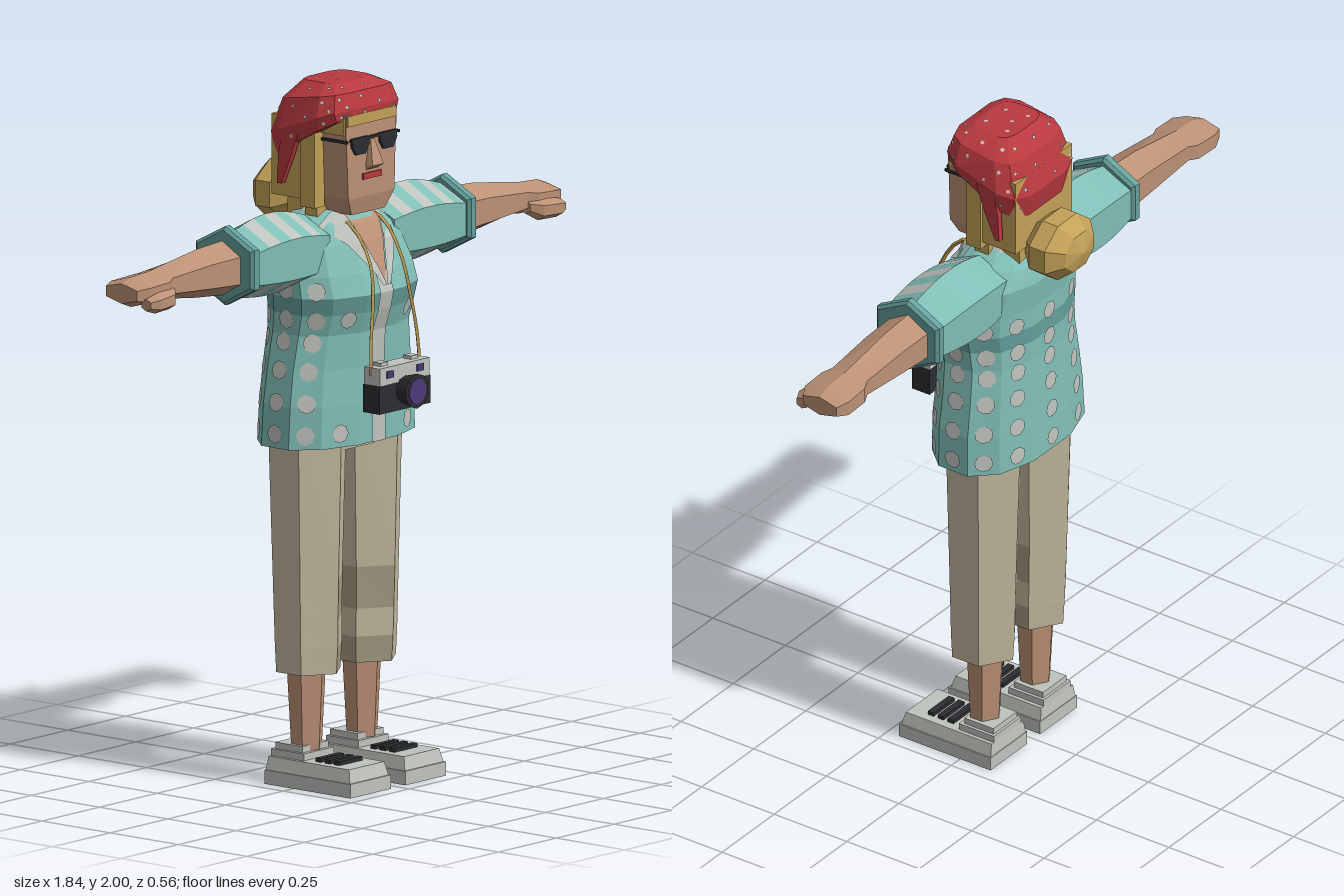
import * as THREE from 'three';
import { mergeGeometries } from 'three/addons/utils/BufferGeometryUtils.js';

const mat = (name, color) => new THREE.MeshStandardMaterial({ name, color, flatShading: true });
const V = (x, y, z) => new THREE.Vector3(x, y, z);

// Horizontal cross-section with half width hx, front zf and back zb; e < 1 makes it squarer
function ring(n, y, hx, zf, zb, e = 1) {
  const raw = Array.from({ length: n }, (_, j) => {
    const a = (j + 0.5) / n * Math.PI * 2, p = v => Math.sign(v) * Math.abs(v) ** e;
    return [p(Math.sin(a)), p(Math.cos(a))];
  });
  const mx = Math.max(...raw.map(r => r[0])), mz = Math.max(...raw.map(r => r[1]));
  return raw.map(([x, z]) => V(x / mx * hx, y, (zf + zb) / 2 + z / mz * (zf - zb) / 2));
}

// Pointed hexagon across the x axis, for sleeves and arms
function hexX(x, yt, yb, zf, zb) {
  const zc = (zf + zb) / 2, u = yb + (yt - yb) * 0.75, l = yb + (yt - yb) * 0.25;
  return [V(x, yt, zc), V(x, u, zf), V(x, l, zf), V(x, yb, zc), V(x, l, zb), V(x, u, zb)];
}

// Hexagon with its points to front and back, for legs
function hexY(y, cx, hx, zf, zb) {
  const m = (zf + zb) / 2, q = (zf - zb) * 0.22;
  return [V(cx, y, zf), V(cx + hx, y, m + q), V(cx + hx, y, m - q), V(cx, y, zb), V(cx - hx, y, m - q), V(cx - hx, y, m + q)];
}

// Capped skin over cross-sections; pick(row, side) selects a material
function loft(name, rings, mats, pick = () => 0) {
  const list = Array.isArray(mats) ? mats : [mats], bins = list.map(() => []);
  const n = rings[0].length;
  for (let i = 0; i < rings.length - 1; i++) for (let j = 0; j < n; j++) {
    const k = (j + 1) % n, a = rings[i], b = rings[i + 1];
    bins[pick(i, j)].push([a[j], a[k], b[k]], [a[j], b[k], b[j]]);
  }
  [rings[0], rings[rings.length - 1]].forEach((r, end) => {
    const c = r.reduce((s, p) => s.add(p), V(0, 0, 0)).divideScalar(n);
    r.forEach((p, j) => { const q = r[(j + 1) % n]; bins[0].push(end ? [c, p, q] : [c, q, p]); });
  });
  const o = rings[0][0];
  let vol = 0;
  bins.flat().forEach(([a, b, c]) => { vol += a.clone().sub(o).dot(b.clone().sub(o).cross(c.clone().sub(o))); });
  return trisMesh(name, bins, list, vol < 0);
}

function trisMesh(name, bins, list, flip = false) {
  const g = new THREE.BufferGeometry(), pts = [];
  bins.forEach((tris, m) => {
    g.addGroup(pts.length, tris.length * 3, m);
    tris.forEach(([a, b, c]) => pts.push(a, flip ? c : b, flip ? b : c));
  });
  g.setFromPoints(pts);
  g.computeVertexNormals();
  const mesh = new THREE.Mesh(g, list.length > 1 ? list : list[0]);
  mesh.name = name;
  return mesh;
}

// Point and outward normal on a lofted surface
function onSurface(rings, u, v) {
  const n = rings[0].length, at = (i, w) => {
    const j = Math.floor(w), t = w - j;
    return rings[i][(j + n) % n].clone().lerp(rings[i][(j + 1 + n) % n], t);
  };
  const i = Math.min(Math.floor(v), rings.length - 2), j = Math.floor(u) + 0.01;
  const p = at(i, u).lerp(at(i + 1, u), v - i);
  const du = at(i, j + 0.98).sub(at(i, j)), dv = at(i + 1, u).sub(at(i, u));
  return [p, du.cross(dv).normalize()];
}

function spots(name, rings, places, r, sides, material) {
  const geos = places.map(([u, v]) => {
    const [p, nrm] = onSurface(rings, u, v);
    const q = new THREE.Quaternion().setFromUnitVectors(V(0, 0, 1), nrm);
    return new THREE.CircleGeometry(r, sides).applyQuaternion(q).translate(...p.addScaledVector(nrm, 0.004).toArray());
  });
  const m = new THREE.Mesh(mergeGeometries(geos), material);
  m.name = name;
  return m;
}

export function createModel() {
  const root = new THREE.Group();
  root.name = 'tourist';
  const teal = mat('shirt teal', 0x80beb6), tealDark = mat('trim teal', 0x659f9b), pale = mat('pale grey', 0xbfc3bd);
  const skin = mat('skin', 0xbc9176), hair = mat('blond hair', 0xc2a158), red = mat('red cloth', 0xb9393f);
  const khaki = mat('khaki', 0xc3ba9f), khakiDark = mat('dark khaki', 0xa59c83);
  const black = mat('black', 0x2c2d30), purple = mat('lens purple', 0x4a3a78);
  const add = (...m) => root.add(...m);
  const box = (name, m, w, h, d, x, y, z) => {
    const b = new THREE.Mesh(new THREE.BoxGeometry(w, h, d), m);
    b.name = name; b.position.set(x, y, z); add(b); return b;
  };

  // Shirt body: height, half width, front, back
  const body = [[0.98, 0.265, 0.135, -0.17], [1.1, 0.26, 0.135, -0.165], [1.2, 0.245, 0.13, -0.16], [1.3, 0.228, 0.135, -0.155],
    [1.36, 0.23, 0.155, -0.155], [1.41, 0.238, 0.165, -0.155], [1.47, 0.235, 0.145, -0.155], [1.55, 0.215, 0.11, -0.163],
    [1.6, 0.16, 0.085, -0.15], [1.635, 0.09, 0.06, -0.1]];
  const shirt = body.map(b => ring(12, ...b, 0.85));
  add(loft('shirt', shirt, [teal, tealDark], (i) => (i === 4 ? 1 : 0)));
  const row = y => { const i = Math.max(0, body.findIndex(b => b[0] >= y) - 1); return i + (y - body[i][0]) / (body[i + 1][0] - body[i][0]); };
  const dots = [];
  for (let k = 0; k < 11; k++) for (const y of [1.02, 1.11, 1.2, 1.28, 1.345, 1.43]) {
    if ((k === 0 || k === 10) && y !== 1.02 && y !== 1.345) continue;
    dots.push([k + 0.5, row(y)]);
  }
  add(spots('shirtDots', shirt, dots, 0.027, 8, pale));

  // Strips laid on the shirt front: rows of [x0, x1, y]
  const frontZ = (x, y) => {
    const v = row(y), i = Math.floor(v), t = v - i;
    const r = shirt[i].map((p, j) => p.clone().lerp(shirt[Math.min(i + 1, 9)][j], t));
    const mid = r.reduce((s, p) => s + p.z, 0) / 12;
    for (let j = 0; j < 12; j++) {
      const a = r[j], b = r[(j + 1) % 12];
      if ((a.z + b.z) / 2 > mid + 0.01 && (a.x - x) * (b.x - x) <= 0) return a.z + (b.z - a.z) * (x - a.x) / (b.x - a.x);
    }
    return mid;
  };
  const strip = (name, rows, m, off) => {
    const p = (x, y) => V(x, y, frontZ(x, y) + off), tris = [];
    rows.slice(1).forEach(([c, d, y2], i) => {
      const [a, b, y1] = rows[i];
      tris.push([p(a, y1), p(b, y1), p(d, y2)], [p(a, y1), p(d, y2), p(c, y2)]);
    });
    add(trisMesh(name, [tris], [m]));
  };
  strip('placket', body.slice(0, 7).map(b => [-0.028, 0.028, b[0]]), pale, 0.005);
  strip('chest', [[-0.002, 0.002, 1.44], [-0.015, 0.015, 1.47], [-0.045, 0.045, 1.55], [-0.062, 0.062, 1.6], [-0.065, 0.065, 1.633]], skin, 0.007);
  for (const s of [-1, 1]) {
    const lapel = [[0, 0.015, 1.43], [0.013, 0.04, 1.47], [0.042, 0.1, 1.55], [0.058, 0.145, 1.6], [0.062, 0.085, 1.633]];
    strip('lapel', lapel.map(([a, b, y]) => s > 0 ? [a, b, y] : [-b, -a, y]), pale, 0.012);
  }
  add(loft('collar', [ring(12, 1.585, 0.14, 0.05, -0.14), ring(12, 1.645, 0.085, 0.03, -0.1)], pale));

  for (const s of [-1, 1]) {
    // Sleeve with stripes on its front slopes, then cuff
    const sleeve = [0.14, 0.18, 0.22, 0.265, 0.31, 0.355, 0.4, 0.44, 0.475].map(x => {
      const k = Math.sin(Math.min(1, Math.max(0, (x - 0.1) / 0.38)) * Math.PI);
      return hexX(x * s, 1.615 + 0.04 * k, 1.445 - 0.025 * k, 0.075 + 0.01 * k, -0.11 - 0.02 * k);
    });
    add(loft('sleeve', sleeve, [teal, pale], (i, j) => ((j === 0 || j === 2) && i % 2 ? 1 : 0)));
    add(loft('cuff', [[0.452, 0.01], [0.46, 0], [0.48, 0], [0.488, 0.01]].map(([x, d]) =>
      hexX(x * s, 1.648 - d, 1.422 + d, 0.09 - d, -0.125 + d)), tealDark));
    // Arm, hand and thumb
    add(loft('arm', [hexX(0.47 * s, 1.608, 1.45, 0.045, -0.09), hexX(0.6 * s, 1.6, 1.462, 0.042, -0.088), hexX(0.77 * s, 1.575, 1.485, 0.035, -0.085),
      hexX(0.8 * s, 1.57, 1.48, 0.05, -0.098), hexX(0.88 * s, 1.565, 1.48, 0.05, -0.1), hexX(0.918 * s, 1.552, 1.495, 0.03, -0.085)], skin));
    add(loft('thumb', [hexX(0.77 * s, 1.53, 1.49, 0.045, 0.01), hexX(0.8 * s, 1.53, 1.47, 0.07, 0.02),
      hexX(0.87 * s, 1.525, 1.47, 0.078, 0.03), hexX(0.9 * s, 1.515, 1.48, 0.065, 0.03)], skin));
    // Trouser leg with darker folds on the inner faces
    const leg = [[1.0, 0.122, 0.103, 0.105, -0.145], [0.6, 0.122, 0.092, 0.095, -0.132], [0.48, 0.121, 0.09, 0.092, -0.128],
      [0.4, 0.12, 0.089, 0.09, -0.125], [0.325, 0.12, 0.086, 0.085, -0.12]];
    const inner = s > 0 ? [4, 5] : [0, 1];
    add(loft('trouserLeg', leg.map(([y, cx, ...r]) => hexY(y, cx * s, ...r)), [khaki, khakiDark],
      (i, j) => ((i === 1 || i === 3) && inner.includes(j) ? 1 : 0)));
    add(loft('shin', [hexY(0.36, 0.12 * s, 0.055, 0.035, -0.085), hexY(0.1, 0.12 * s, 0.042, 0.022, -0.07)], skin));
    // Shoe
    const cx = 0.119 * s;
    box('shoeSole', pale, 0.176, 0.04, 0.315, cx, 0.02, 0.0525);
    const upper = loft('shoeUpper', [ring(4, 0.04, 0.084, 0.205, -0.103), ring(4, 0.078, 0.076, 0.195, -0.1)], pale);
    upper.position.x = cx; add(upper);
    box('shoeCollar', pale, 0.13, 0.02, 0.12, cx, 0.088, -0.04);
    box('shoeAnkle', pale, 0.112, 0.02, 0.1, cx, 0.106, -0.042);
    for (let i = 0; i < 3; i++) box('lace', black, 0.1, 0.012, 0.02, cx, 0.083, 0.06 + i * 0.034);
  }
  box('hips', khaki, 0.2, 0.06, 0.18, 0, 0.985, -0.02);

  // Neck, head and face
  add(loft('neck', [ring(8, 1.5, 0.068, 0.06, -0.07), ring(8, 1.69, 0.066, 0.06, -0.07)], skin));
  add(loft('head', [ring(4, 1.63, 0.072, 0.1, -0.04), ring(4, 1.68, 0.1, 0.112, -0.06), ring(4, 1.92, 0.11, 0.11, -0.1)], skin));
  add(loft('nose', [ring(4, 1.755, 0.022, 0.116, 0.1), ring(4, 1.768, 0.024, 0.137, 0.1), ring(4, 1.84, 0.008, 0.116, 0.1)], skin));
  box('mouth', red, 0.08, 0.017, 0.008, 0, 1.737, 0.113);

  // Hair with stepped side locks, fringe and bun
  box('hairBack', hair, 0.27, 0.23, 0.14, 0, 1.785, -0.07);
  box('nape', hair, 0.18, 0.09, 0.07, 0, 1.65, -0.085);
  box('fringe', hair, 0.21, 0.03, 0.02, 0, 1.903, 0.105);
  for (const s of [-1, 1]) {
    box('sideLock', hair, 0.045, 0.25, 0.05, 0.122 * s, 1.775, 0);
    box('sideLockTip', hair, 0.05, 0.07, 0.045, 0.092 * s, 1.64, -0.01);
    box('temple', hair, 0.03, 0.05, 0.09, 0.1 * s, 1.888, 0.062);
  }
  const bun = new THREE.Mesh(new THREE.SphereGeometry(1, 8, 5).rotateX(Math.PI / 2).rotateZ(Math.PI / 8), hair);
  bun.name = 'hairBun'; bun.scale.set(0.125, 0.1, 0.086); bun.position.set(0, 1.658, -0.194); add(bun);

  // Sunglasses
  const lensShape = new THREE.Shape([[-0.036, 0.02], [0.036, 0.02], [0.038, 0], [0.022, -0.028], [-0.018, -0.028], [-0.034, -0.005]].map(p => new THREE.Vector2(...p)));
  for (const s of [-1, 1]) {
    const lens = new THREE.Mesh(new THREE.ExtrudeGeometry(lensShape, { depth: 0.008, bevelEnabled: false }), black);
    lens.name = 'sunglassLens'; lens.position.set(0.06 * s, 1.833, 0.116); add(lens);
    box('glassesArm', black, 0.006, 0.008, 0.12, 0.112 * s, 1.845, 0.06);
  }
  box('glassesBridge', black, 0.2, 0.007, 0.008, 0, 1.848, 0.12);

  // Bandana: rim falls toward the back
  const scarf = [[0, 0.152, 0.113, -0.145], [0.05, 0.163, 0.113, -0.158], [0.1, 0.143, 0.098, -0.125], [0.1, 0.09, 0.055, -0.08]].map(([h, ...r], i) =>
    ring(12, 0, ...r, 0.5).map(p => {
      const rim = 1.768 + (p.z + 0.155) * 0.54;
      return p.setY(i === 3 ? 2 : i === 2 ? 1.965 + p.z * 0.15 : i === 1 ? rim * 0.62 + 1.97 * 0.38 : rim);
    }));
  add(loft('bandana', scarf, red));
  const marks = [];
  for (let k = 0; k < 12; k++) marks.push([k + 0.3, 0.45], [k + 0.7, 1.2], [k + 0.25, 1.7], [k + 0.5, 2.5]);
  add(spots('bandanaDots', scarf, marks, 0.007, 4, pale));
  const topDots = [[-0.04, 0.02], [0.04, 0.03], [0, -0.03], [-0.05, -0.05], [0.05, -0.05]].map(([x, z]) =>
    new THREE.CircleGeometry(0.007, 4).rotateX(-Math.PI / 2).translate(x, 2.001, z));
  const tops = new THREE.Mesh(mergeGeometries(topDots), pale);
  tops.name = 'bandanaTopDots'; add(tops);
  for (const s of [-1, 1]) {
    const tail = [[1.87, -0.02, -0.08], [1.79, -0.05, -0.095], [1.71, -0.085, -0.1]].map(([y, zf, zb]) =>
      ring(4, y, 0.009, zf, zb).map(p => p.setX(p.x + 0.15 * s)));
    add(loft('bandanaTail', tail, red));
  }

  // Neck strap and camera
  for (const s of [-1, 1]) {
    const path = new THREE.CatmullRomCurve3([V(0.07 * s, 1.62, 0), V(0.068 * s, 1.6, 0.095), V(0.068 * s, 1.5, 0.165),
      V(0.08 * s, 1.4, 0.185), V(0.1 * s, 1.28, 0.195), V(0.105 * s, 1.19, 0.2)]);
    const strap = new THREE.Mesh(new THREE.TubeGeometry(path, 12, 0.006, 4), hair);
    strap.name = 'cameraStrap'; add(strap);
    box('cameraWindow', purple, 0.028, 0.02, 0.006, 0.065 * s, 1.192, 0.234);
    box('cameraKnob', pale, 0.03, 0.012, 0.03, 0.065 * s, 1.218, 0.2);
  }
  box('cameraBody', black, 0.22, 0.08, 0.06, 0, 1.124, 0.205);
  box('cameraTop', pale, 0.216, 0.05, 0.058, 0, 1.189, 0.205);
  const cyl = (name, m, rf, rb, d, z) => {
    const c = new THREE.Mesh(new THREE.CylinderGeometry(rf, rb, d, 10).rotateX(Math.PI / 2), m);
    c.name = name; c.position.set(0, 1.14, z); add(c);
  };
  cyl('lensBarrel', black, 0.05, 0.038, 0.045, 0.257);
  cyl('lensGlass', purple, 0.037, 0.037, 0.006, 0.279);
  return root;
}
